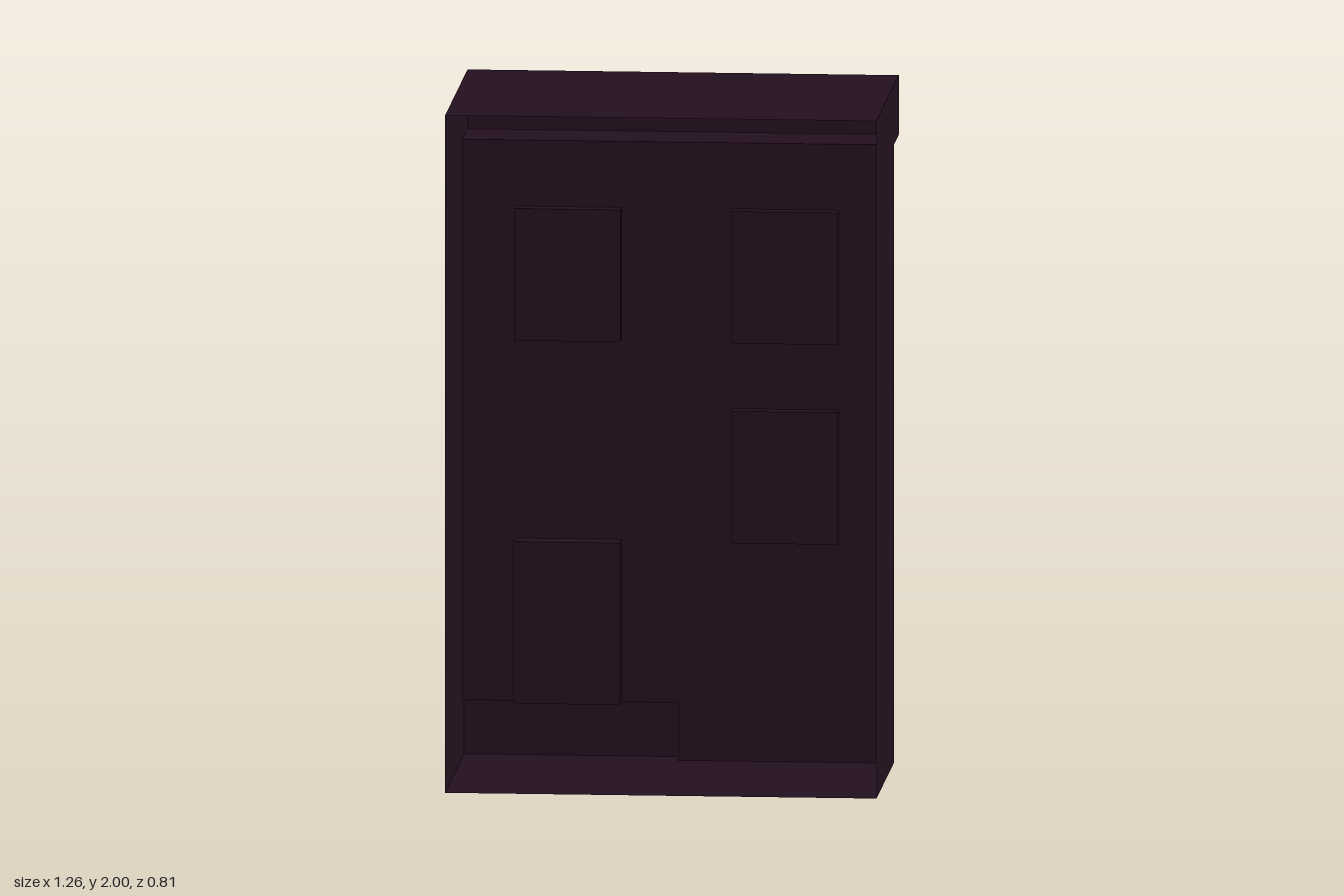
import * as THREE from 'three';

const material = new THREE.MeshStandardMaterial({ color: 0x24101f, side: THREE.DoubleSide, flatShading: true });

// Main dimensions
const W = 0.63, H = 2, FRONT = 0.405, WALL = -0.22;
const CORNICE_Y = 1.825, CORNICE_Z = -0.405;
const STEP_Y = 0.17, STEP_Z = -0.285;

// Sides of a box in the order BoxGeometry stores them
const SIDES = ['+x', '-x', '+y', '-y', '+z', '-z'];

// Thin-walled box between two corners, with some of its sides left out
function openBox(name, [x0, y0, z0], [x1, y1, z1], missing) {
  const geometry = new THREE.BoxGeometry(x1 - x0, y1 - y0, z1 - z0);
  const index = Array.from(geometry.index.array);
  geometry.setIndex(index.filter((_, i) => !missing.includes(SIDES[Math.floor(i / 6)])));
  geometry.clearGroups();
  geometry.translate((x0 + x1) / 2, (y0 + y1) / 2, (z0 + z1) / 2);
  const mesh = new THREE.Mesh(geometry, material);
  mesh.name = name;
  return mesh;
}

export function createModel() {
  const group = new THREE.Group();
  group.name = 'buildingFacade';

  // Side walls, roof and floor, open at the front
  group.add(openBox('shell', [-W, 0, WALL], [W, H, FRONT], ['+z', '-z']));

  // Hollow cornice and door step, open towards the inside
  group.add(openBox('cornice', [-W, CORNICE_Y, CORNICE_Z], [W, H, WALL], ['+z']));
  group.add(openBox('doorStep', [-W, 0, STEP_Z], [0, STEP_Y, WALL], ['+z']));

  // Facade wall, notched over the step
  const wall = new THREE.Shape([
    [0, 0], [W, 0], [W, CORNICE_Y], [-W, CORNICE_Y], [-W, STEP_Y], [0, STEP_Y],
  ].map(([x, y]) => new THREE.Vector2(x, y)));

  // Recessed windows and door, sunk into the wall
  const recesses = [
    ['upperLeftWindow', 0.16, 0.47, 1.24, 1.63, 0.045],
    ['upperRightWindow', -0.475, -0.165, 1.24, 1.63, 0.045],
    ['lowerLeftWindow', 0.16, 0.47, 0.65, 1.04, 0.045],
    ['door', -0.475, -0.165, STEP_Y + 0.002, 0.65, 0.065],
  ];
  for (const [name, x0, x1, y0, y1, depth] of recesses) {
    wall.holes.push(new THREE.Path([
      [x0, y0], [x0, y1], [x1, y1], [x1, y0],
    ].map(([x, y]) => new THREE.Vector2(x, y))));
    group.add(openBox(name, [x0, y0, WALL], [x1, y1, WALL + depth], ['-z']));
  }

  const facade = new THREE.Mesh(new THREE.ShapeGeometry(wall), material);
  facade.name = 'facadeWall';
  facade.position.z = WALL;
  group.add(facade);

  return group;
}
